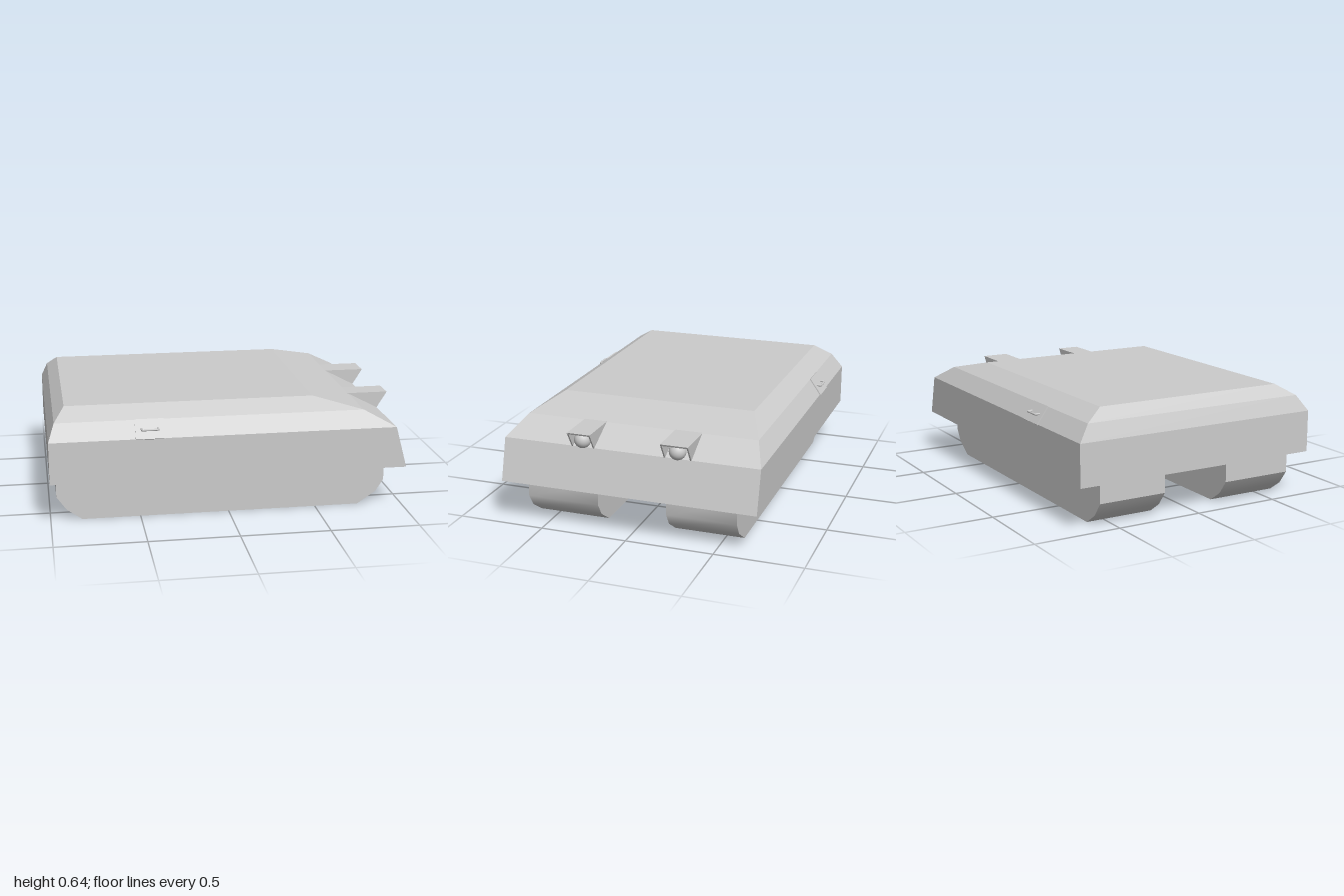
import * as THREE from 'three';
import { toCreasedNormals } from 'three/addons/utils/BufferGeometryUtils.js';

const grey = new THREE.MeshStandardMaterial({ color: 0xcccccc, flatShading: true });
const smooth = new THREE.MeshStandardMaterial({ color: 0xcccccc });
const thin = new THREE.MeshStandardMaterial({ color: 0xcccccc, flatShading: true, side: THREE.DoubleSide });

function add(parent, name, geometry, material = grey) {
  const mesh = new THREE.Mesh(geometry, material);
  mesh.name = name;
  parent.add(mesh);
  return mesh;
}

// Stack of rectangles [y, rear x, front x, half width], closed at both ends
function hullGeometry(levels) {
  const pos = [], index = [];
  for (const [y, x0, x1, z] of levels) pos.push(x0, y, z, x1, y, z, x1, y, -z, x0, y, -z);
  for (let l = 0; l < levels.length - 1; l++) {
    for (let i = 0; i < 4; i++) {
      const a = l * 4 + i, b = l * 4 + (i + 1) % 4;
      index.push(a, b, b + 4, a, b + 4, a + 4);
    }
  }
  const t = (levels.length - 1) * 4;
  index.push(0, 2, 1, 0, 3, 2, t, t + 1, t + 2, t, t + 2, t + 3);
  const g = new THREE.BufferGeometry();
  g.setAttribute('position', new THREE.Float32BufferAttribute(pos, 3));
  g.setIndex(index);
  const flat = g.toNonIndexed();
  flat.computeVertexNormals();
  return flat;
}

// Side profile in x and y, extruded between two z values
function slab(points, z0, z1) {
  const shape = new THREE.Shape(points.map(([x, y]) => new THREE.Vector2(x, y)));
  return new THREE.ExtrudeGeometry(shape, { depth: z1 - z0, bevelEnabled: false }).translate(0, 0, z0);
}

export function createModel() {
  const model = new THREE.Group();
  model.name = 'trackedHull';

  // Bevelled body
  add(model, 'hull', hullGeometry([
    [0.25, -1, 0.995, 0.735],
    [0.487, -1, 0.93, 0.735],
    [0.578, -0.965, 0.755, 0.67],
    [0.642, -0.905, 0.485, 0.565],
  ]));

  // Two track blocks
  const track = [[-0.965, 0.255], [-0.965, 0.137], [-0.91, 0.06], [-0.825, 0],
    [0.75, 0], [0.855, 0.07], [0.9, 0.14], [0.9, 0.255]];
  for (const [name, z0, z1] of [['leftTrack', 0.2, 0.62], ['rightTrack', -0.6, -0.2]]) {
    add(model, name, toCreasedNormals(slab(track, z0, z1), 0.6), smooth);
  }

  // Headlights: top plate, two triangular cheeks and a ball lamp
  for (const [name, z0, z1] of [['leftHeadlight', 0.2, 0.333], ['rightHeadlight', -0.355, -0.2]]) {
    const light = new THREE.Group();
    light.name = name;
    model.add(light);
    const wall = 0.008;
    const cheek = [[0.75, 0.578], [0.93, 0.485], [0.988, 0.578]];
    add(light, 'innerCheek', slab(cheek, z0, z0 + wall));
    add(light, 'outerCheek', slab(cheek, z1 - wall, z1));
    add(light, 'hood', slab([[0.74, 0.57], [0.983, 0.57], [0.988, 0.58], [0.74, 0.58]], z0, z1));
    const lamp = add(light, 'lamp', new THREE.SphereGeometry(0.047, 24, 16), smooth);
    lamp.position.set(0.93, 0.53, (z0 + z1) / 2);
  }

  // Grab handles on plates lying on the sloping sides
  for (const side of [1, -1]) {
    const fitting = new THREE.Group();
    fitting.name = side > 0 ? 'leftHandle' : 'rightHandle';
    fitting.position.set(-0.45, 0.533, side * 0.705);
    if (side < 0) fitting.rotation.y = Math.PI;
    model.add(fitting);
    const plate = add(fitting, 'plate', new THREE.BoxGeometry(0.16, 0.116, 0.008), thin);
    plate.rotation.x = -Math.atan2(0.065, 0.091);
    const path = new THREE.CurvePath();
    const p = [[-0.045, -0.01], [-0.045, 0.028], [0.045, 0.028], [0.045, -0.01]]
      .map(([x, z]) => new THREE.Vector3(x, 0.003, z));
    for (let i = 0; i < 3; i++) path.add(new THREE.LineCurve3(p[i], p[i + 1]));
    add(fitting, 'grip', new THREE.TubeGeometry(path, 40, 0.006, 8), smooth);
  }

  return model;
}
